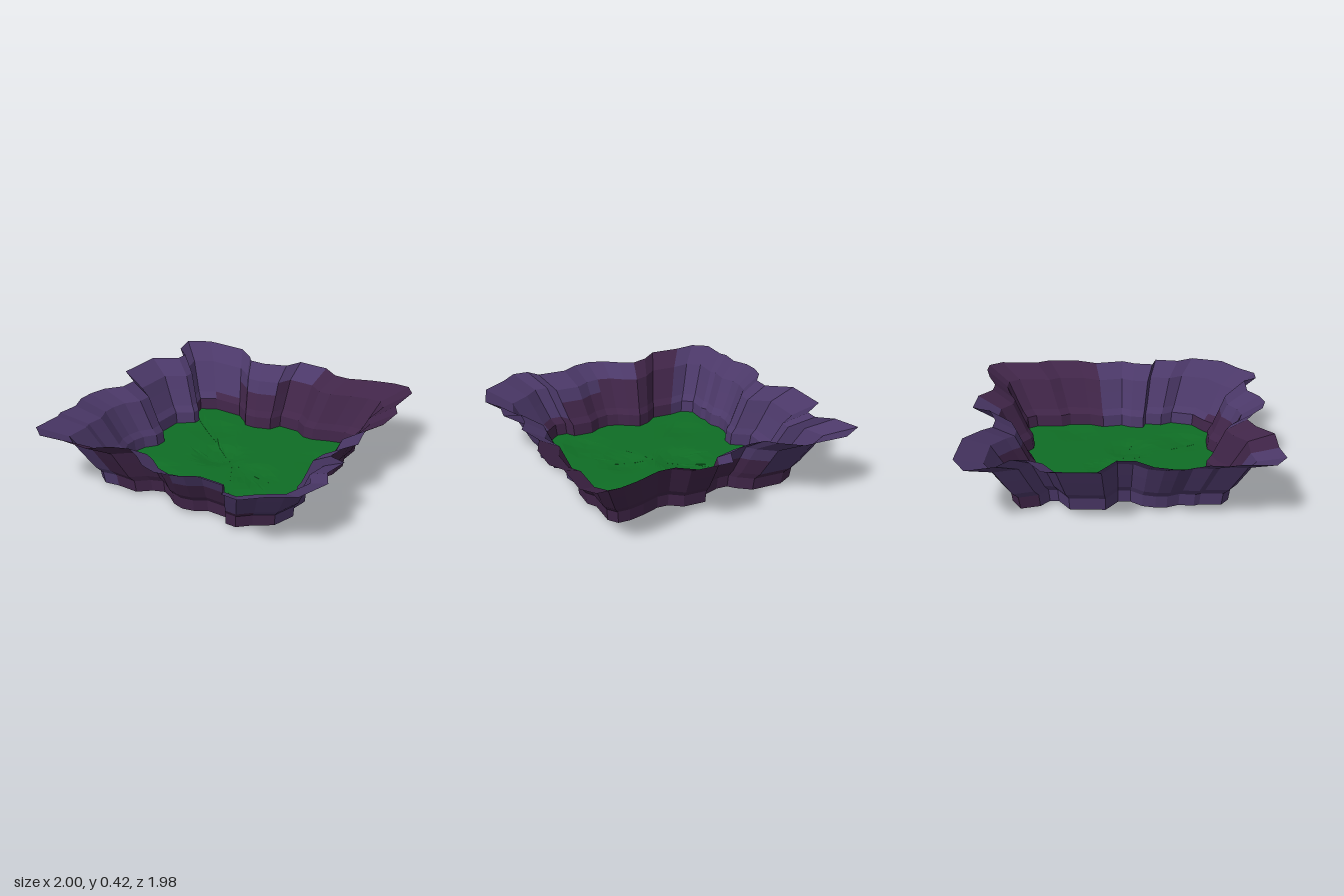
import * as THREE from 'three';

// Rim outline (x, z), clockwise from the back left corner
const rim = [
  // back
  [-1, -.855], [-.85, -.945], [-.55, -.945], [-.42, -.85], [-.37, -.79], [-.26, -.79], [-.1, -.85],
  [-.05, -.97], [.165, -.97], [.28, -.89], [.385, -.89], [.545, -.955], [.69, -.995], [.8, -.995],
  // left (+x)
  [.865, -.91], [.865, -.65], [.92, -.56], [.92, -.35], [.865, -.21], [.915, -.015], [.865, .08],
  [.85, .21], [.957, .235], [.935, .4], [1, .51], [.94, .73], [.785, .84],
  // front
  [.68, .945], [.575, .945], [.52, .86], [.325, .86], [.22, .93], [.11, .957], [0, .93], [-.1, .86],
  [-.2, .81], [-.31, .855], [-.42, .957], [-.63, .957], [-.77, .985], [-.875, .915],
  // right (-x)
  [-.875, .72], [-.9, .67], [-.89, .535], [-.94, .43], [-.945, .33], [-.92, .215], [-.84, .11],
  [-.84, 0], [-1, -.105], [-1, -.42], [-.845, -.53], [-.845, -.61], [-.945, -.685],
];

// Wall profile: outline scale and height of each ring
const profile = [[.69, .02], [.7, .1], [.735, .14], [.795, .25], [.84, .335], [1, .42]];

// Shallow hollows in the floor: x, z, radius, depth
const hollows = [
  [-.15, -.05, .18, .02], [.2, .05, .16, .012], [-.38, .38, .15, .01],
  [.37, .42, .15, .012], [-.38, -.35, .17, .008], [.48, -.36, .13, .008],
];

function floorHeight(x, z) {
  let y = .02;
  for (const [cx, cz, r, d] of hollows) {
    const t = Math.hypot(x - cx, z - cz) / r;
    y -= d * Math.min(1, Math.max(0, (1 - t) * 1.8));
  }
  return Math.max(0, y);
}

// Faceted geometry from a list of corner vectors
function facets(points) {
  const g = new THREE.BufferGeometry().setFromPoints(points);
  g.computeVertexNormals();
  return g;
}

const quad = (a, a2, b, b2) => [a, b2, b, a, a2, b2];

// Broad bands of darker rock sweep down along the front and back
function isPlum(x, y, z) {
  const s = z > 0 ? 1 : -1;
  if (Math.abs(z) > .76 && s * x > -.82 + (s > 0 ? .15 : 0) && y < .4 - .25 * (s * x + .3)) return true;
  return x > .8 && z < -.2;
}

export function createModel() {
  const side = THREE.DoubleSide;
  const purple = new THREE.MeshStandardMaterial({ color: 0x4b3868, side });
  purple.name = 'purple rock';
  const plum = new THREE.MeshStandardMaterial({ color: 0x402548, side });
  plum.name = 'plum rock';
  const green = new THREE.MeshStandardMaterial({ color: 0x0f6e25, side });
  green.name = 'grass green';

  const n = rim.length;
  const model = new THREE.Group();
  model.name = 'valley';
  const add = (name, points, material) => {
    const mesh = new THREE.Mesh(facets(points), material);
    mesh.name = name;
    model.add(mesh);
  };

  // Rock wall: the rim outline lofted through the profile
  const wall = [], bands = [];
  const ringPoint = (k, i) => {
    const [x, z] = rim[i % n], [s, y] = profile[k];
    return new THREE.Vector3(x * s, y, z * s);
  };
  for (let k = 0; k < profile.length - 1; k++) {
    const y = (profile[k][1] + profile[k + 1][1]) / 2;
    for (let i = 0; i < n; i++) {
      const [x1, z1] = rim[i], [x2, z2] = rim[(i + 1) % n];
      const list = isPlum((x1 + x2) / 2, y, (z1 + z2) / 2) ? bands : wall;
      list.push(...quad(ringPoint(k, i), ringPoint(k, i + 1), ringPoint(k + 1, i), ringPoint(k + 1, i + 1)));
    }
  }
  add('rockWall', wall, purple);
  add('rockBands', bands, plum);

  // Grass floor: concentric outlines pressed down at the hollows
  const grass = [], steps = 9;
  const floorPoint = (k, i) => {
    const s = .69 * k / steps, x = rim[i % n][0] * s, z = rim[i % n][1] * s;
    return new THREE.Vector3(x, k === steps ? .02 : floorHeight(x, z), z);
  };
  for (let i = 0; i < n; i++) {
    grass.push(floorPoint(0, i), floorPoint(1, i + 1), floorPoint(1, i));
    for (let k = 1; k < steps; k++) {
      grass.push(...quad(floorPoint(k, i), floorPoint(k, i + 1), floorPoint(k + 1, i), floorPoint(k + 1, i + 1)));
    }
  }
  add('grassFloor', grass, green);

  return model;
}
